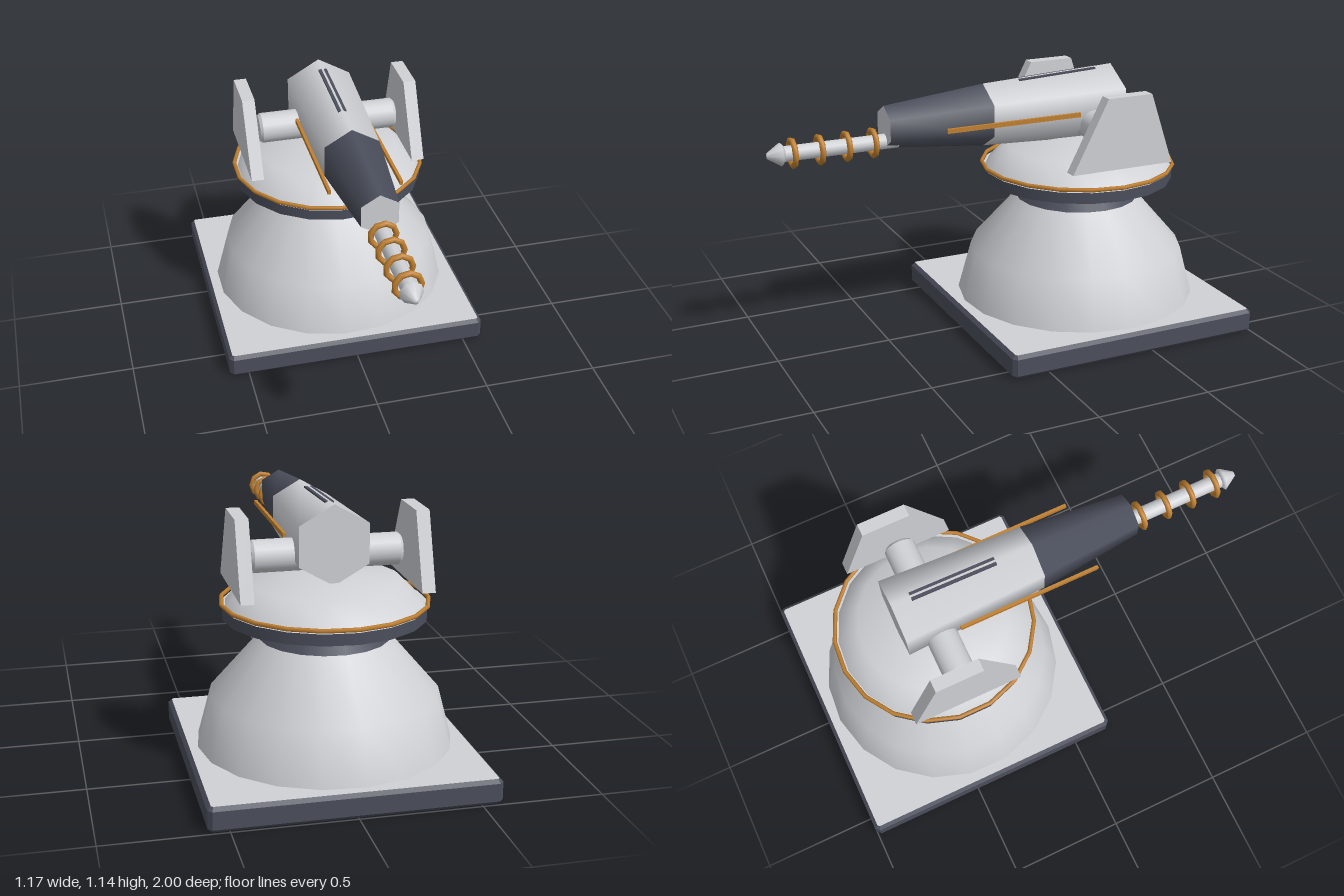
import * as THREE from 'three';

const light = new THREE.MeshStandardMaterial({ color: 0xcfd1d5 });
light.name = 'light grey';
const dark = new THREE.MeshStandardMaterial({ color: 0x4b4f5c });
dark.name = 'dark slate';
const copper = new THREE.MeshStandardMaterial({ color: 0xc08030 });
copper.name = 'copper';

const CZ = -0.416; // vertical axis of the pedestal
const AXIS = 0.973; // height of the barrel housing axis
const ROD = 0.91; // height of the emitter rod

export function createModel() {
  const group = new THREE.Group();
  const add = (name, geometry, material, x = 0, y = 0, z = 0) => {
    const mesh = new THREE.Mesh(geometry, material);
    mesh.name = name;
    mesh.position.set(x, y, z);
    group.add(mesh);
    return mesh;
  };
  const lathe = (pts, sides) =>
    new THREE.LatheGeometry(pts.map(([r, y]) => new THREE.Vector2(r, y)), sides, Math.PI / 2);
  const disc = (rTop, rBottom, height) =>
    new THREE.CylinderGeometry(rTop, rBottom, height, 19, 1, false, Math.PI / 2);

  // Bevelled square base plate: light faces, dark rim
  const h = 0.57, c = 0.008;
  const square = new THREE.Shape([
    [-h + c, -h], [h - c, -h], [h, -h + c], [h, h - c],
    [h - c, h], [-h + c, h], [-h, h - c], [-h, -h + c],
  ].map(([x, y]) => new THREE.Vector2(x, y)));
  const plate = new THREE.ExtrudeGeometry(square, {
    depth: 0.075, bevelThickness: 0.015, bevelSize: 0.015, bevelSegments: 1,
  });
  plate.rotateX(-Math.PI / 2);
  add('basePlate', plate, [light, dark], 0, 0.015, CZ);

  // Pedestal
  add('pedestal', lathe([[0.536, 0.1], [0.477, 0.32], [0.273, 0.555]], 19), light, 0, 0, CZ);
  add('pedestalNeck', disc(0.227, 0.273, 0.075), [dark, light, light], 0, 0.5925, CZ);

  // Turntable
  add('turntableRim', disc(0.423, 0.423, 0.048), [dark, light, light], 0, 0.671, CZ);
  add('turntableDome',
    lathe([[0.415, 0.69], [0.394, 0.717], [0.317, 0.793], [0.115, 0.826], [0, 0.828]], 19), light, 0, 0, CZ);
  const band = new THREE.TorusGeometry(0.426, 0.009, 6, 19);
  band.rotateX(Math.PI / 2);
  add('turntableBand', band, copper, 0, 0.709, CZ);

  // Trunnion with chamfered ends
  const trunnion = new THREE.CylinderGeometry(0.067, 0.067, 0.6, 20);
  trunnion.rotateZ(Math.PI / 2);
  add('trunnion', trunnion, light, 0, 0.907, -0.425);
  for (const s of [-1, 1]) {
    const end = new THREE.CylinderGeometry(0.057, 0.067, 0.012, 20);
    end.rotateZ(-s * Math.PI / 2);
    add('trunnionEnd', end, light, s * 0.306, 0.907, -0.425);
  }

  // Side shields and conduits
  const outline = new THREE.Shape([
    [0.19, 0.78], [0.665, 0.78], [0.557, 1.092], [0.35, 1.092],
  ].map(([x, y]) => new THREE.Vector2(x, y)));
  const shield = new THREE.ExtrudeGeometry(outline, { depth: 0.055, bevelEnabled: false });
  shield.rotateY(Math.PI / 2);
  shield.translate(-0.0275, 0, 0);
  for (const s of [-1, 1]) {
    add('sideShield', shield, light, s * 0.364, 0, 0);
    add('conduit', new THREE.BoxGeometry(0.013, 0.019, 0.62), copper, s * 0.152, 0.966, -0.037);
  }

  // Six-sided barrel housing
  const hexTaper = (rFront, rBack, length) => {
    const g = new THREE.CylinderGeometry(rFront, rBack, length, 6);
    g.rotateX(Math.PI / 2);
    return g;
  };
  add('barrelHousing', hexTaper(0.137, 0.165, 0.62), light, 0, AXIS, -0.265);
  add('barrelShroud', hexTaper(0.09, 0.137, 0.45), [dark, light, light], 0, AXIS, 0.27);

  // Sight slot straddling the top ridge
  const slot = add('sightSlot', new THREE.BoxGeometry(0.036, 0.03, 0.37), dark, 0, 1.108, -0.305);
  slot.rotation.x = Math.atan(0.028 / 0.62);

  // Emitter rod, coils and tip
  const rod = new THREE.CylinderGeometry(0.033, 0.033, 0.5, 12);
  rod.rotateX(Math.PI / 2);
  add('emitterRod', rod, light, 0, ROD, 0.69);
  for (let i = 0; i < 4; i++) {
    add('emitterCoil', new THREE.TorusGeometry(0.054, 0.0125, 8, 9), copper, 0, ROD, 0.547 + i * 0.115);
  }
  const tip = lathe([[0, 0.925], [0.033, 0.927], [0.049, 0.94], [0.012, 0.998], [0, 1]], 9);
  tip.rotateX(Math.PI / 2);
  add('emitterTip', tip, light, 0, ROD, 0);

  return group;
}
